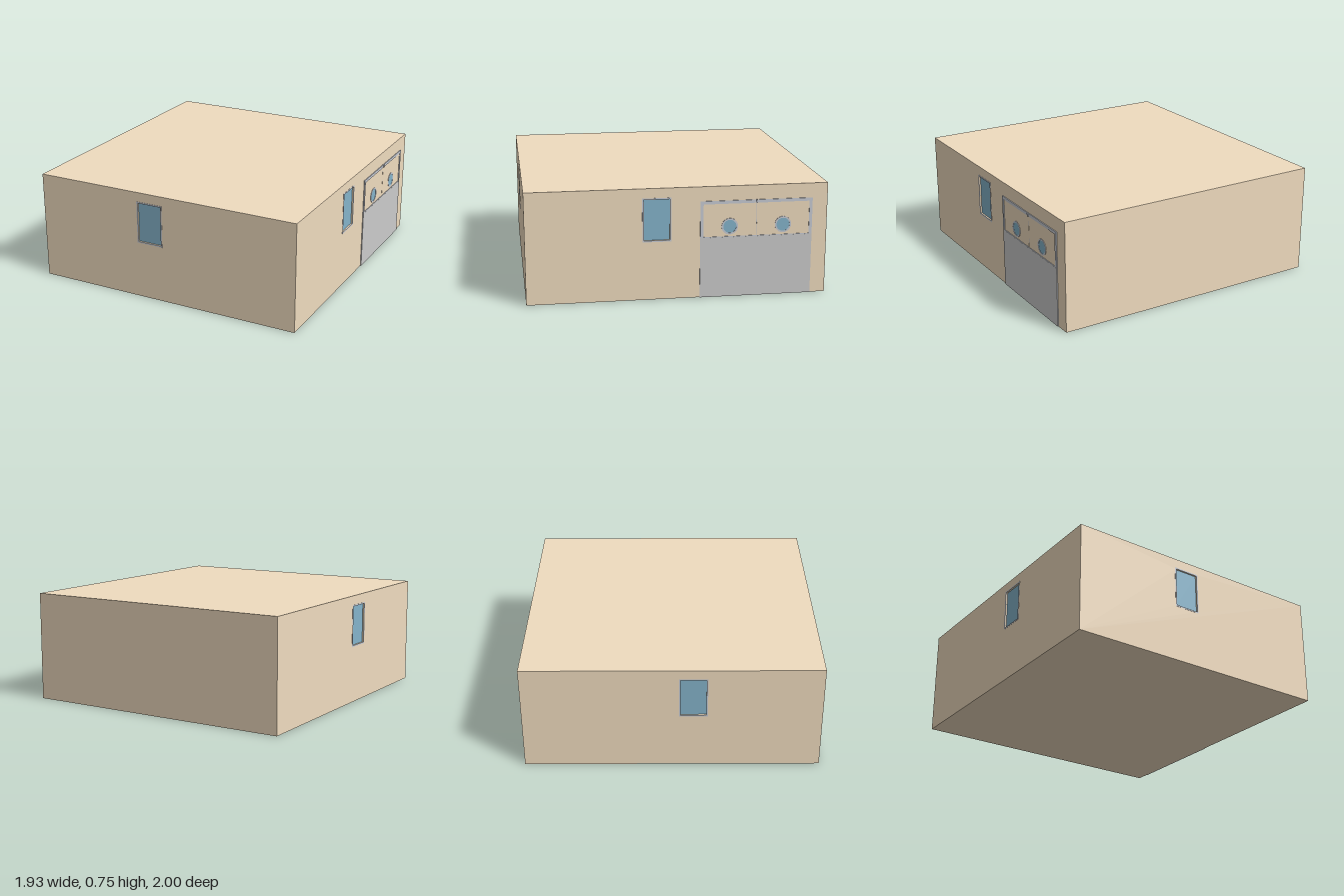
import * as THREE from 'three';

const mat = (color) => new THREE.MeshStandardMaterial({ color });
const WALL = mat(0xf0dcbf), GLASS = mat(0x85b4cb), GREY = mat(0xcccccc), FRAME = mat(0xc8ccd4);

// Building extents; SKIN is the depth of the window recesses
const X0 = -0.965, X1 = 0.954, H = 0.755, SKIN = 0.012;

function add(parent, name, geometry, material, x = 0, y = 0, z = 0) {
  const mesh = new THREE.Mesh(geometry, material);
  mesh.name = name;
  mesh.position.set(x, y, z);
  parent.add(mesh);
  return mesh;
}

function trace(path, u0, v0, u1, v1) {
  path.moveTo(u0, v0);
  path.lineTo(u1, v0);
  path.lineTo(u1, v1);
  path.lineTo(u0, v1);
  path.closePath();
  return path;
}

// Flat rectangle with an optional rectangular opening, extruded towards +z
function panel([u0, v0, u1, v1], hole, depth) {
  const shape = trace(new THREE.Shape(), u0, v0, u1, v1);
  if (hole) shape.holes.push(trace(new THREE.Path(), ...hole));
  return new THREE.ExtrudeGeometry(shape, { depth, bevelEnabled: false });
}

// Wall skin whose outer face lies on local z = 0, with a framed, recessed window
function windowWall(name, u0, u1, windowU) {
  const wall = new THREE.Group();
  wall.name = name;
  const half = 0.086, low = 0.405, high = 0.68, rim = 0.01;
  const opening = [windowU - half, low, windowU + half, high];
  const outer = [windowU - half - rim, low - rim, windowU + half + rim, high + rim];
  add(wall, 'wallPanel', panel([u0, 0, u1, H], opening, SKIN), WALL, 0, 0, -SKIN);
  add(wall, 'windowFrame', panel(outer, opening, 0.0015), FRAME);
  add(wall, 'windowGlass', panel(opening, null, 0.002), GLASS, 0, 0, -SKIN);
  return wall;
}

// Double door, local u from -0.375 to 0.375, lying on local z = 0
function buildDoor() {
  const door = new THREE.Group();
  door.name = 'door';
  const half = 0.376, top = 0.657, split = 0.41, rim = 0.021;
  add(door, 'doorFrame',
    panel([-half, 0, half, top], [-half + rim, 0.002, half - rim, top - rim], 0.0055), FRAME);
  add(door, 'lowerPanel', panel([-half, 0, half, split], null, 0.006), GREY);
  add(door, 'panelRail', panel([-half + rim, split, half - rim, split + 0.005], null, 0.0055), FRAME);
  for (const side of [-1, 1]) {
    const inner = side * 0.002, outer = side * (half - rim);
    add(door, 'upperLeaf',
      panel([Math.min(inner, outer), split, Math.max(inner, outer), top - rim], null, 0.002), WALL);
    // Round porthole: raised ring and glass disc
    const ring = new THREE.Shape().absarc(0, 0, 0.055, 0, Math.PI * 2);
    ring.holes.push(new THREE.Path().absarc(0, 0, 0.044, 0, Math.PI * 2, true));
    add(door, 'portholeRing',
      new THREE.ExtrudeGeometry(ring, { depth: 0.005, bevelEnabled: false, curveSegments: 24 }),
      FRAME, side * 0.179, 0.482);
    add(door, 'portholeGlass', new THREE.CircleGeometry(0.045, 48), GLASS, side * 0.179, 0.482, 0.003);
  }
  add(door, 'centreGap', panel([-0.002, split, 0.002, top - rim], null, 0.001), GREY);
  add(door, 'topCatch', new THREE.BoxGeometry(0.008, 0.022, 0.012), FRAME, 0, 0.647, 0.006);
  return door;
}

export function createModel() {
  const model = new THREE.Group();
  model.name = 'building';

  // Solid core behind the window walls; its back is the plain rear wall
  add(model, 'core', new THREE.BoxGeometry(X1 - X0 - 2 * SKIN, H, 2 - SKIN), WALL,
    (X0 + X1) / 2, H / 2, -SKIN / 2);

  model.add(windowWall('frontWall', X0, X1, -0.112));
  model.children[1].position.z = 0.9985;

  // Side walls: the same window position on both sides
  const left = windowWall('leftWall', -(1 - SKIN), 1, -0.14);
  left.rotation.y = Math.PI / 2;
  left.position.x = X1;
  const right = windowWall('rightWall', -1, 1 - SKIN, 0.14);
  right.rotation.y = -Math.PI / 2;
  right.position.x = X0;
  model.add(left, right);

  const door = buildDoor();
  door.rotation.y = Math.PI / 2;
  door.position.set(X1, 0, -0.522);
  model.add(door);
  return model;
}
